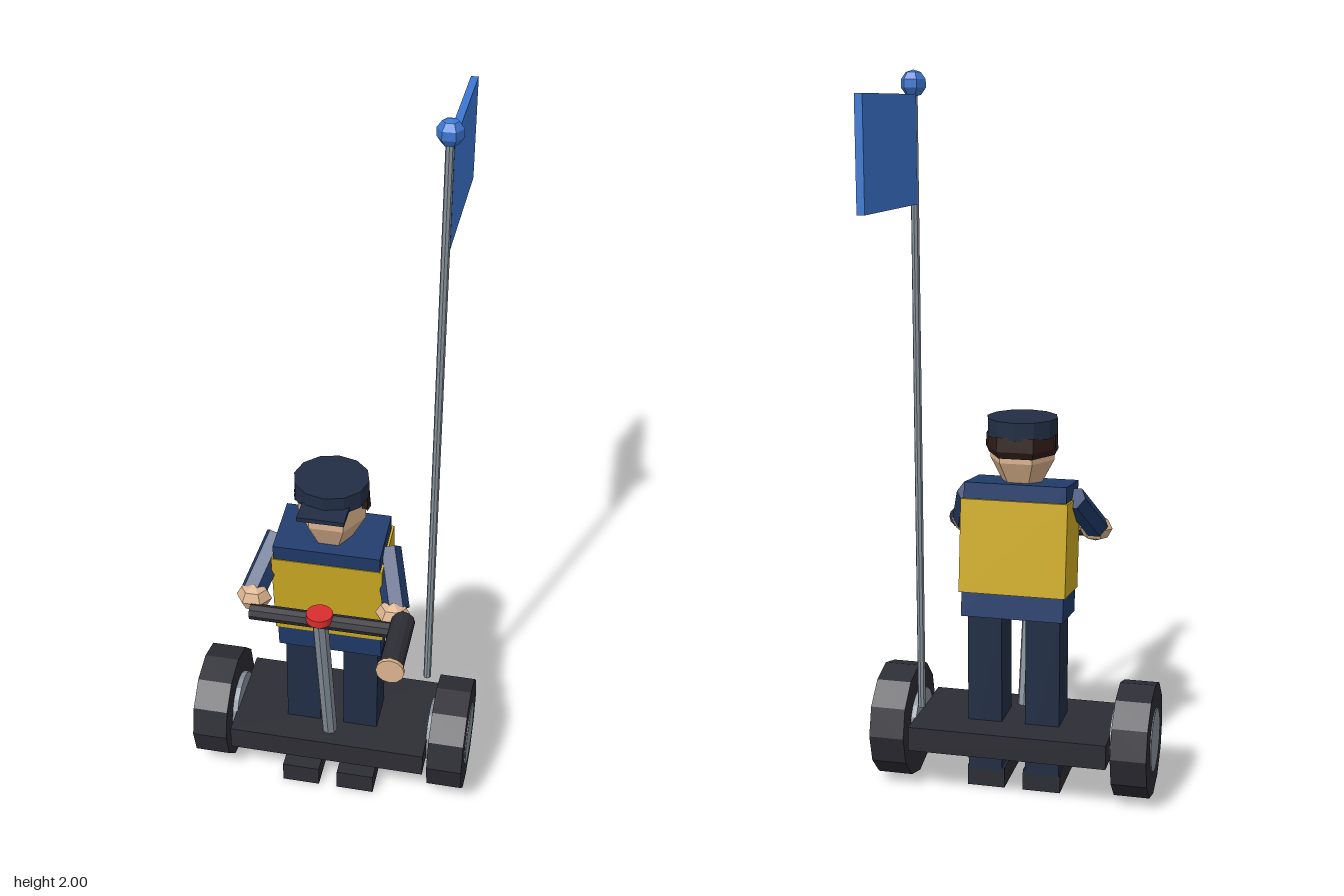
import * as THREE from 'three';

const mat = (name, color, double) => {
  const m = new THREE.MeshStandardMaterial({ color });
  m.name = name;
  m.flatShading = true;
  if (double) m.side = THREE.DoubleSide;
  return m;
};

export function createModel() {
  const model = new THREE.Group();
  model.name = 'officerOnScooter';

  const jacketBlue = mat('jacketBlue', 0x213c6c);
  const navy = mat('navy', 0x222e45);
  const yellow = mat('vestYellow', 0xd0ad22);
  const black = mat('rubberBlack', 0x2d2d35);
  const metal = mat('metalGrey', 0x87919b);
  const skin = mat('skin', 0xddb48f);
  const red = mat('buttonRed', 0xd92e2e);
  const hairBrown = mat('hairBrown', 0x2e1c17, true);
  const flagBlue = mat('flagBlue', 0x3c78d4);

  const add = (name, geo, material, x, y, z, parent = model) => {
    const mesh = new THREE.Mesh(geo, material);
    mesh.name = name;
    mesh.position.set(x, y, z);
    parent.add(mesh);
    return mesh;
  };
  const box = (name, w, h, d, material, x, y, z, parent) =>
    add(name, new THREE.BoxGeometry(w, h, d), material, x, y, z, parent);
  // Cylinder running between two points
  const rod = (name, a, b, r, sides, material, r2 = r) => {
    const p = new THREE.Vector3(...a), q = new THREE.Vector3(...b);
    const dir = q.clone().sub(p);
    const mid = p.clone().add(q).multiplyScalar(0.5);
    const mesh = add(name, new THREE.CylinderGeometry(r2, r, dir.length(), sides), material, mid.x, mid.y, mid.z);
    mesh.quaternion.setFromUnitVectors(new THREE.Vector3(0, 1, 0), dir.normalize());
    return mesh;
  };

  // Scooter: deck, steering column, handlebar, button
  box('deck', 0.565, 0.07, 0.313, black, 0, 0.167, 0.087);
  rod('steeringColumn', [0, 0.19, 0.18], [0, 0.71, 0.296], 0.022, 8, metal);
  rod('handlebar', [-0.19, 0.711, 0.298], [0.19, 0.711, 0.298], 0.022, 8, black);
  add('button', new THREE.CylinderGeometry(0.036, 0.036, 0.022, 16), red, 0, 0.728, 0.302);

  // Mirrored parts: wheels, legs, arms
  for (const s of [-1, 1]) {
    rod('wheel', [s * 0.295, 0.166, 0.087], [s * 0.395, 0.166, 0.087], 0.163, 12, black);
    rod('hub', [s * 0.28, 0.166, 0.087], [s * 0.398, 0.166, 0.087], 0.09, 16, metal);
    box('boot', 0.108, 0.06, 0.185, black, s * 0.081, 0.03, 0.124);
    box('leg', 0.098, 0.48, 0.12, navy, s * 0.083, 0.29, 0.09);
    rod('arm', [s * 0.15, 0.845, 0.125], [s * 0.195, 0.735, 0.24], 0.036, 6, jacketBlue);
    add('hand', new THREE.SphereGeometry(0.049, 6, 4), skin, s * 0.19, 0.728, 0.254).scale.set(1, 0.78, 0.85);
  }

  // Leaning torso with vest
  const torso = new THREE.Group();
  torso.name = 'torso';
  torso.position.set(0, 0.697, 0.111);
  torso.rotation.x = 0.113;
  model.add(torso);
  box('jacket', 0.29, 0.378, 0.172, jacketBlue, 0, 0, 0, torso);
  box('vest', 0.302, 0.263, 0.184, yellow, 0, 0.012, -0.004, torso);

  // Head, hair and cap
  const lathe = (pts, segs, start, length) =>
    new THREE.LatheGeometry(pts.map(p => new THREE.Vector2(...p)), segs, start, length);
  add('head', lathe([[0, 0.86], [0.055, 0.88], [0.092, 0.95], [0.092, 1.005], [0, 1.04]], 6, Math.PI / 6, Math.PI * 2),
    skin, 0, 0, 0.137);
  add('hair', lathe([[0.094, 0.965], [0.104, 0.985], [0.1, 1.025]], 3, Math.PI / 2, Math.PI), hairBrown, 0, 0, 0.132);
  for (const s of [-1, 1]) box('sideburn', 0.02, 0.035, 0.035, hairBrown, s * 0.088, 1.005, 0.135);
  add('cap', new THREE.CylinderGeometry(0.1, 0.1, 0.05, 12), navy, 0, 1.043, 0.14);
  box('capBrim', 0.124, 0.012, 0.1, navy, 0, 1.026, 0.234);

  // Baton with end cap, pointing forward from the left hand
  rod('baton', [0.22, 0.728, 0.275], [0.22, 0.728, 0.466], 0.032, 12, black);
  rod('batonEnd', [0.22, 0.728, 0.465], [0.22, 0.728, 0.476], 0.037, 12, skin);

  // Flag on its pole
  rod('flagPole', [0.25, 0.255, -0.036], [0.25, 1.95, -0.036], 0.011, 8, metal);
  add('poleBall', new THREE.SphereGeometry(0.035, 6, 5), flagBlue, 0.25, 1.966, -0.036);
  box('flag', 0.02, 0.28, 0.43, flagBlue, 0.25, 1.799, -0.261);

  return model;
}
